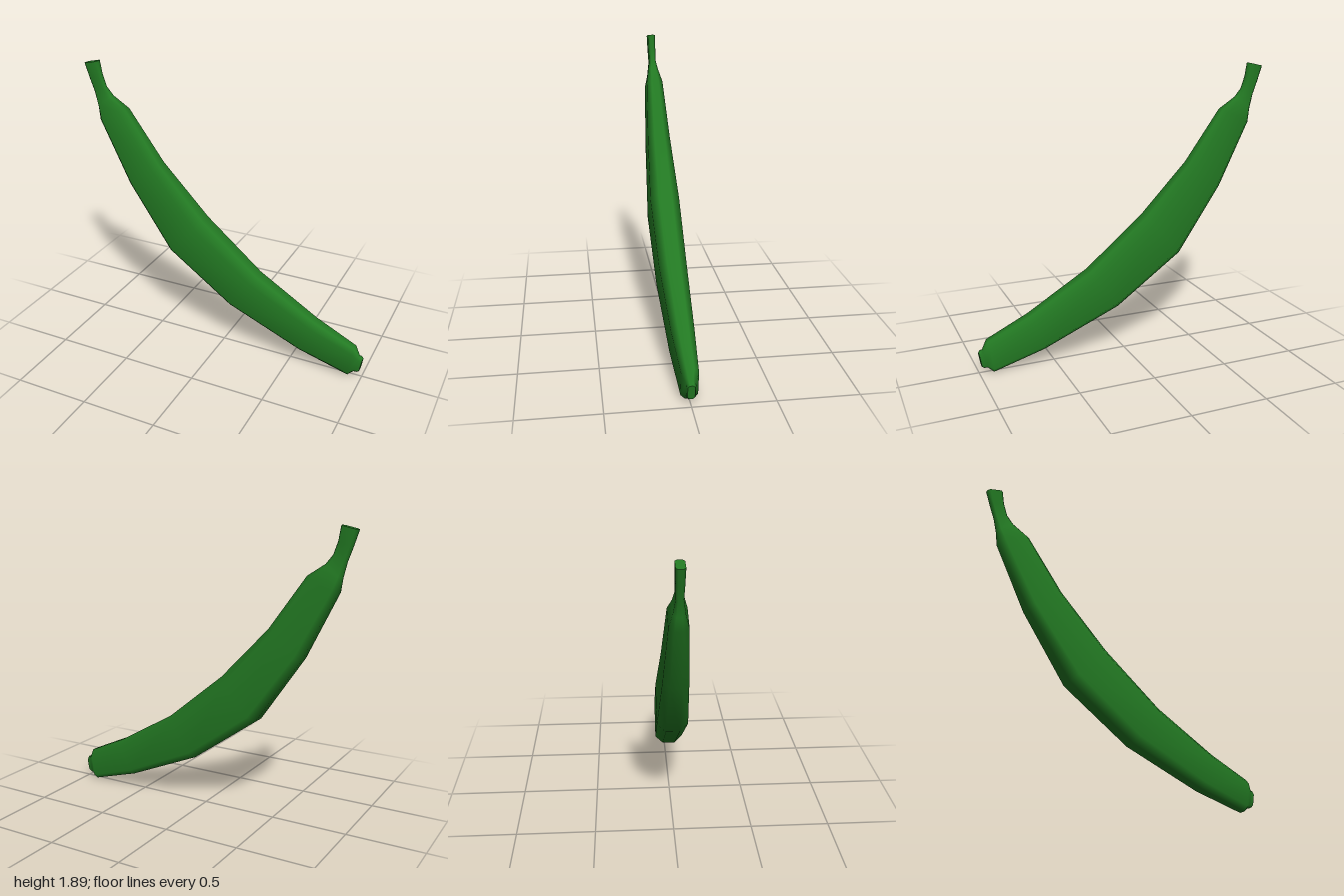
import * as THREE from 'three';

// Cross-section stations: [upper edge x, y, lower edge x, y, half thickness]
const STATIONS = [
  [-0.895, 1.89, -0.998, 1.867, 0.027],
  [-0.88, 1.8, -0.967, 1.77, 0.025],
  [-0.852, 1.72, -0.935, 1.68, 0.022],
  [-0.81, 1.665, -0.91, 1.585, 0.035],
  [-0.7, 1.59, -0.895, 1.5, 0.056],
  [-0.46, 1.25, -0.685, 1.08, 0.077],
  [-0.14, 0.91, -0.385, 0.645, 0.098],
  [0.25, 0.588, 0.06, 0.325, 0.09],
  [0.66, 0.345, 0.57, 0.105, 0.072],
  [0.94, 0.215, 0.908, 0.003, 0.052],
  [0.972, 0.155, 0.945, 0.035, 0.028],
  [0.988, 0.152, 0.968, 0.036, 0.028],
  [0.998, 0.138, 0.982, 0.045, 0.022],
];

// Eight-sided section with broad flat sides: [across, thickness]
const SECTION = [
  [1, -0.45], [1, 0.45], [0.72, 1], [-0.72, 1],
  [-1, 0.45], [-1, -0.45], [-0.72, -1], [0.72, -1],
];
const N = SECTION.length;

function ring([ux, uy, lx, ly, h]) {
  return SECTION.map(([u, w]) => [
    (ux + lx) / 2 + (u * (ux - lx)) / 2,
    (uy + ly) / 2 + (u * (uy - ly)) / 2,
    w * h,
  ]);
}

function makeGeometry(points, index) {
  const g = new THREE.BufferGeometry();
  g.setAttribute('position', new THREE.Float32BufferAttribute(points.flat(), 3));
  g.setIndex(index);
  g.computeVertexNormals();
  return g;
}

// Smooth skin joining all stations
function skin(stations) {
  const index = [];
  for (let i = 0; i < stations.length - 1; i++) {
    for (let j = 0; j < N; j++) {
      const k = (j + 1) % N;
      const a = i * N + j, b = i * N + k, c = a + N, d = b + N;
      index.push(a, b, c, b, d, c);
    }
  }
  return makeGeometry(stations.flatMap(ring), index);
}

// Flat end face
function cap(station, flip) {
  const index = [];
  for (let j = 1; j < N - 1; j++) index.push(0, flip ? j + 1 : j, flip ? j : j + 1);
  return makeGeometry(ring(station), index);
}

export function createModel() {
  const group = new THREE.Group();
  group.name = 'banana';
  const green = new THREE.MeshStandardMaterial({ color: 0x237a23 });
  green.name = 'unripe green';

  const add = (name, geometry) => {
    const mesh = new THREE.Mesh(geometry, green);
    mesh.name = name;
    group.add(mesh);
  };
  add('peel', skin(STATIONS));
  add('stemEnd', cap(STATIONS[0], true));
  add('blossomEnd', cap(STATIONS[STATIONS.length - 1], false));
  return group;
}
